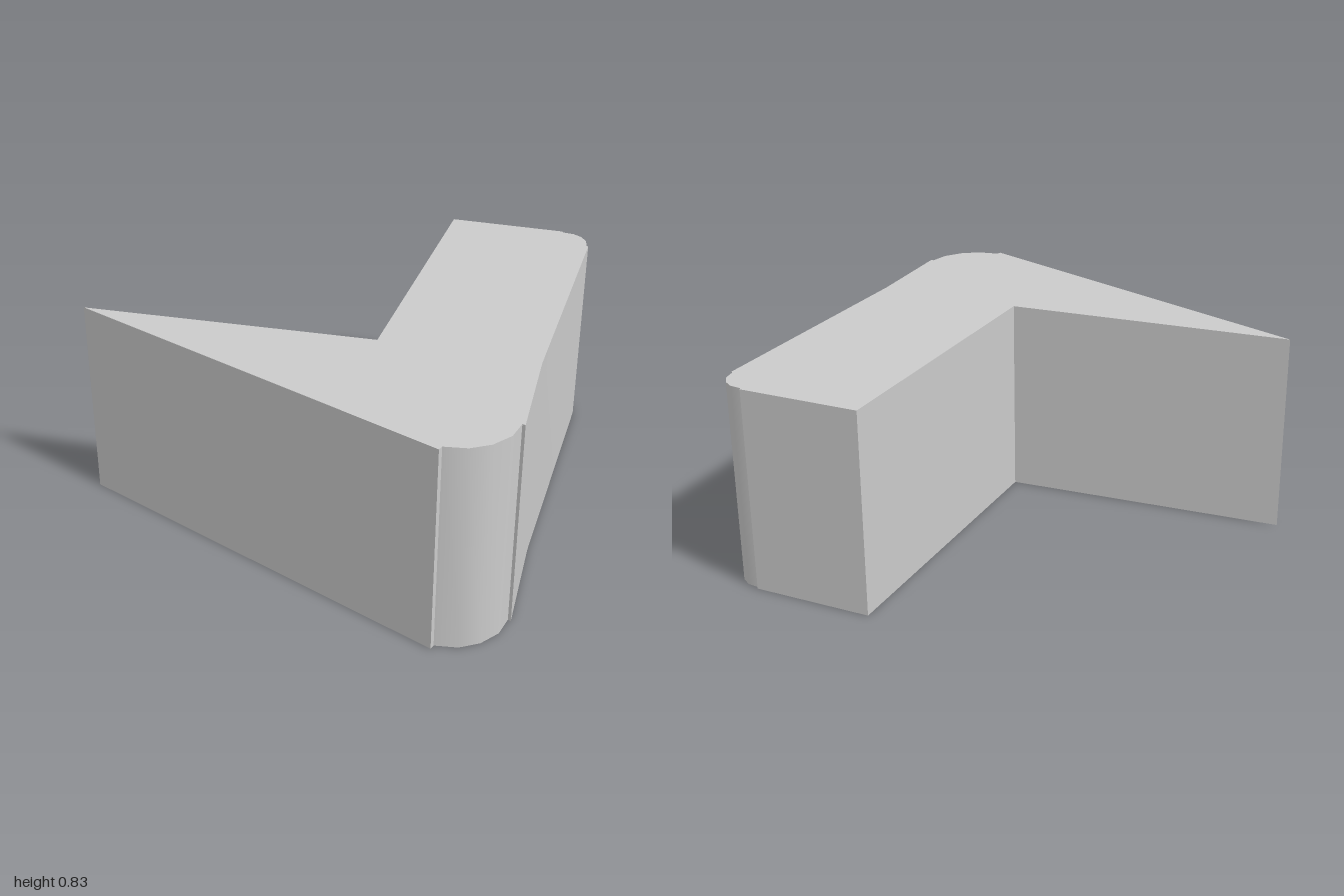
import * as THREE from 'three';
import { toCreasedNormals } from 'three/addons/utils/BufferGeometryUtils.js';

const HEIGHT = 0.83;

// Plan outline as [x, z] points
const OUTLINE = [
  // square back corner, then the rounded one with its small steps
  [0.265, -1], [0.76, -1],
  [0.765, -0.99], [0.813, -0.984], [0.85, -0.96], [0.877, -0.92], [0.887, -0.868],
  [0.895, -0.862],
  // long outer wall with a slight outward kink
  [0.895, 0.29], [0.92, 0.757],
  // large rounded front corner
  [0.908, 0.753], [0.892, 0.841], [0.84, 0.917], [0.77, 0.964], [0.683, 0.979],
  [0.677, 1],
  // pointed tip and inner corner
  [-0.925, 0.355], [0.265, 0.285],
];

export function createModel() {
  const group = new THREE.Group();
  group.name = 'cornerBlock';

  // Draw the plan with z flipped, then lay the extrusion flat so it rises along y
  const shape = new THREE.Shape(OUTLINE.map(([x, z]) => new THREE.Vector2(x, -z)));
  const extruded = new THREE.ExtrudeGeometry(shape, { depth: HEIGHT, bevelEnabled: false });
  extruded.rotateX(-Math.PI / 2);

  // Smooth the rounded corners, keep the other edges sharp
  const body = new THREE.Mesh(
    toCreasedNormals(extruded, 0.6),
    new THREE.MeshStandardMaterial({ color: 0xcccccc }),
  );
  body.name = 'body';
  group.add(body);
  return group;
}
